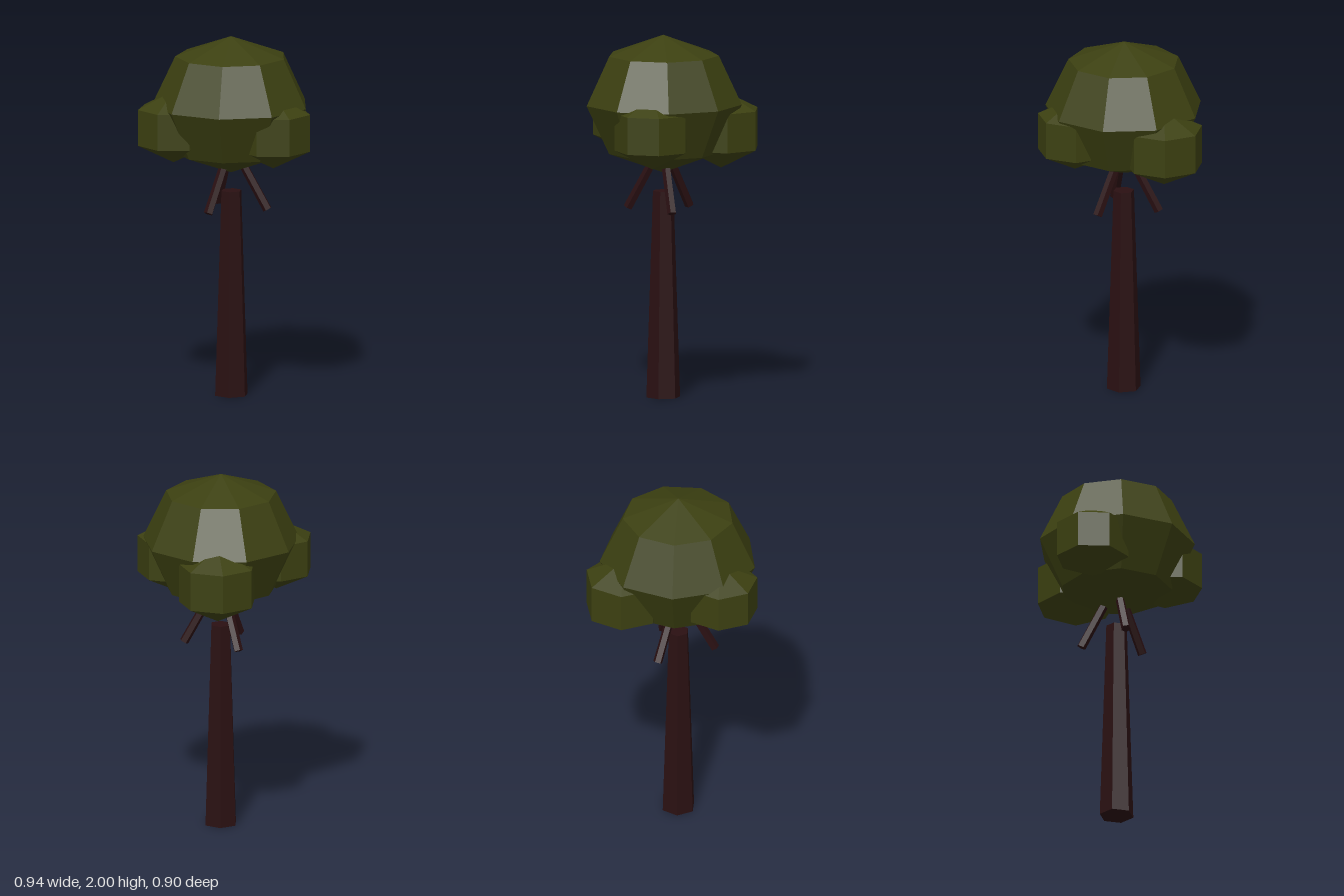
import * as THREE from 'three';

export function createModel() {
  const tree = new THREE.Group();
  tree.name = 'tree';

  const leaf = new THREE.MeshStandardMaterial({ color: 0x3c4011, flatShading: true });
  leaf.name = 'dark olive leaves';
  const bark = new THREE.MeshStandardMaterial({ color: 0x2a1012, flatShading: true });
  bark.name = 'dark brown bark';

  const cx = -0.025, cz = -0.016; // trunk axis

  function add(name, geometry, material, x, y, z) {
    const mesh = new THREE.Mesh(geometry, material);
    mesh.name = name;
    mesh.position.set(x, y, z);
    tree.add(mesh);
    return mesh;
  }

  // Low-poly leaf clump with one corner pointing to the back
  function clump(name, sides, rows, r, ry, x, y, z) {
    const g = new THREE.SphereGeometry(1, sides, rows);
    g.rotateY(-Math.PI / 2);
    g.scale(r, ry, r);
    add(name, g, leaf, x, y, z);
  }

  // Trunk: tapered hexagon
  add('trunk', new THREE.CylinderGeometry(0.058, 0.095, 1.14, 6), bark, cx, 0.57, cz);

  // Three branches fanning out downwards from inside the crown
  const length = 0.41, tilt = 0.5;
  for (let i = 0; i < 3; i++) {
    const a = Math.PI + (i * Math.PI * 2) / 3;
    const dir = new THREE.Vector3(-Math.cos(a) * Math.sin(tilt), Math.cos(tilt), -Math.sin(a) * Math.sin(tilt));
    const foot = new THREE.Vector3(cx + Math.cos(a) * 0.2, 1.04, cz + Math.sin(a) * 0.2);
    const p = foot.addScaledVector(dir, length / 2);
    const branch = add('branch' + (i + 1), new THREE.CylinderGeometry(0.024, 0.026, length, 5), bark, p.x, p.y, p.z);
    branch.quaternion.setFromUnitVectors(new THREE.Vector3(0, 1, 0), dir);
  }

  // Crown and its side clumps
  clump('crown', 9, 4, 0.432, 0.38, cx, 1.62, -0.018);
  clump('frontClump', 7, 3, 0.239, 0.205, -0.006, 1.5, 0.263);
  clump('leftClump', 7, 3, 0.248, 0.215, 0.26, 1.472, -0.17);
  clump('rightClump', 7, 3, 0.231, 0.2, -0.275, 1.51, -0.22);

  return tree;
}
